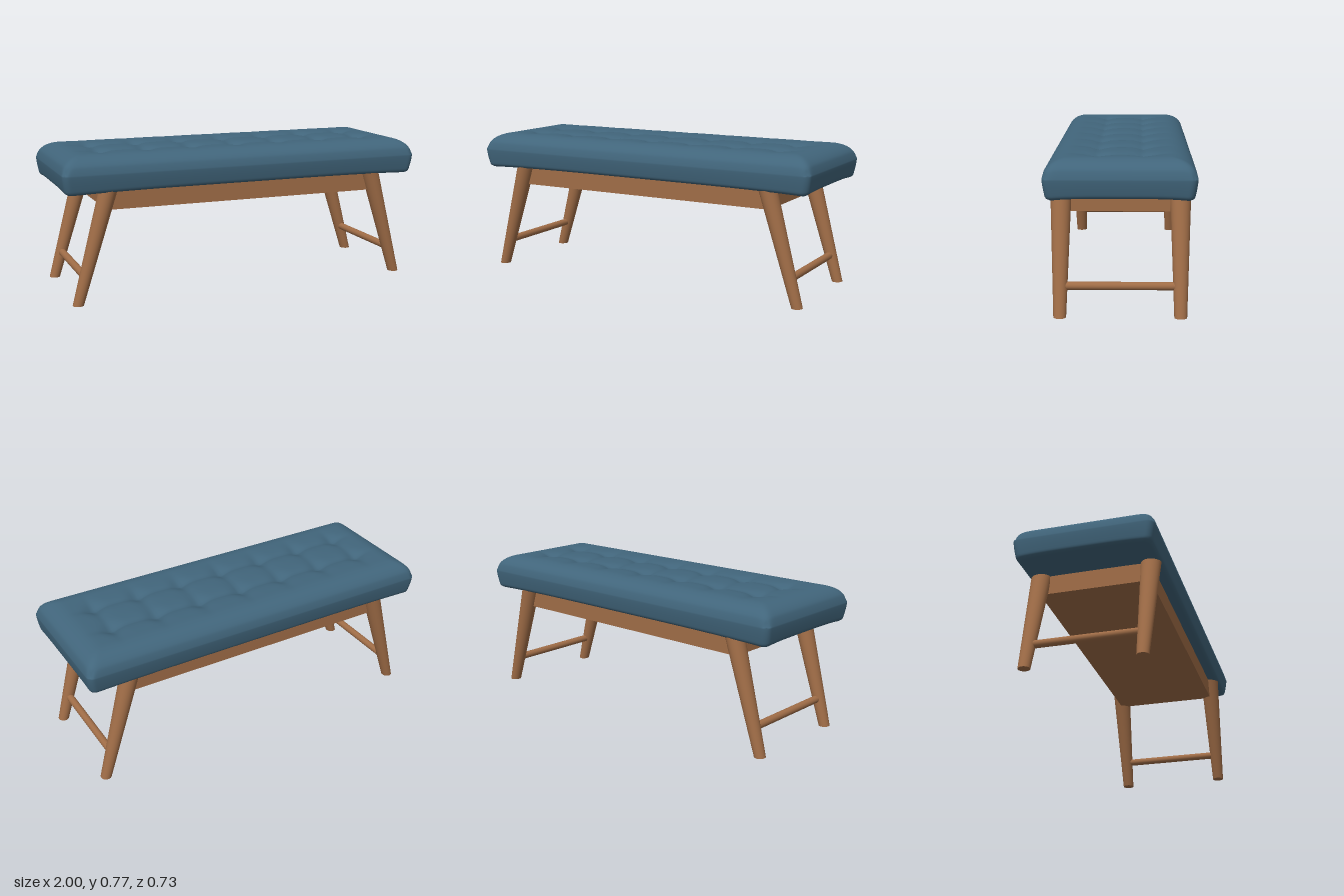
import * as THREE from 'three';
import { mergeVertices } from 'three/addons/utils/BufferGeometryUtils.js';

const HX = 1, HZ = 0.364;        // cushion half sizes
const TOP = 0.774, RIM = 0.685, BASE = 0.59;
const COL = 0.253, ROW = 0.11;   // tuft spacing

// Depth of the tufted top at a point: soft grooves plus a pit at each button
function tuftDepth(x, z) {
  const col = THREE.MathUtils.clamp(Math.round(x / COL), -3, 3) * COL;
  const dx = Math.abs(x - col), dz = Math.abs(Math.abs(z) - ROW);
  const fadeX = 1 - THREE.MathUtils.smoothstep(Math.abs(x), 0.76, 0.92);
  const fadeZ = 1 - THREE.MathUtils.smoothstep(Math.abs(z), 0.12, 0.3);
  const grooves = 0.012 * Math.max(Math.exp(-dx / 0.04) * fadeZ, Math.exp(-dz / 0.035) * fadeX);
  return grooves + 0.02 * Math.exp(-(dx * dx + dz * dz) / 0.0022);
}

// Dense box whose vertices are moved into a padded, tufted cushion
function cushionGeometry() {
  let g = new THREE.BoxGeometry(2, 2, 2, 128, 14, 56);
  g.deleteAttribute('normal');
  g.deleteAttribute('uv');
  g = mergeVertices(g);
  const p = g.attributes.position;
  const warp = u => 0.6 * u + 0.4 * Math.sin(u * Math.PI / 2); // finer near the edges
  const R = 0.035;
  for (let i = 0; i < p.count; i++) {
    const u = warp(p.getX(i)), w = warp(p.getZ(i)), v = (p.getY(i) + 1) / 2;
    // sides taper down and roll under at the bottom
    const q = Math.max(0, 1 - v / 0.18);
    const inset = 0.016 * Math.pow(1 - v, 1.5) + 0.012 * (1 - Math.sqrt(1 - q * q));
    const hx = HX - inset, hz = HZ - inset;
    let x = Math.abs(u) * hx, z = Math.abs(w) * hz;
    // rounded corners in plan
    const cx = Math.max(0, x - hx + R) / R, cz = Math.max(0, z - hz + R) / R;
    if (cx > 0 && cz > 0) {
      x = hx - R + R * cx * Math.sqrt(1 - cz * cz / 2);
      z = hz - R + R * cz * Math.sqrt(1 - cx * cx / 2);
    }
    x *= Math.sign(u);
    z *= Math.sign(w);
    const bottom = BASE - 0.01 * Math.pow(u * w, 4);
    let y = bottom + v * (RIM - bottom);
    if (v > 0.9999) {
      // padded top with rounded shoulders
      const tx = Math.max(0, 1 - (1 - Math.abs(u)) * HX / 0.13);
      const tz = Math.max(0, 1 - (1 - Math.abs(w)) * HZ / 0.13);
      const t = Math.min(1, Math.pow(tx ** 6 + tz ** 6, 1 / 6));
      const swell = Math.sqrt(1 - t * t);
      y = RIM + (TOP - RIM - tuftDepth(x, z)) * swell;
    }
    p.setXYZ(i, x, y, z);
  }
  g.computeVertexNormals();
  return g;
}

// Tapered round leg, leaning outward with level ends
function legGeometry() {
  const h = 0.595;
  const g = new THREE.CylinderGeometry(0.052, 0.031, h, 32);
  g.translate(0, h / 2, 0);
  const p = g.attributes.position;
  for (let i = 0; i < p.count; i++) {
    p.setX(i, p.getX(i) * 0.93 + 0.928 - 0.173 * p.getY(i) / h);
  }
  g.computeVertexNormals();
  // keep the seam and end caps smooth and clean
  const n = g.attributes.normal, src = new THREE.CylinderGeometry(0.052, 0.031, h, 32).attributes.normal;
  const v = new THREE.Vector3();
  for (let i = 0; i < n.count; i++) {
    v.fromBufferAttribute(src, i);
    if (Math.abs(v.y) < 0.9) v.y += 0.29 * v.x;
    v.normalize();
    n.setXYZ(i, v.x, v.y, v.z);
  }
  return g;
}

export function createModel() {
  const model = new THREE.Group();
  model.name = 'bench';
  const fabric = new THREE.MeshStandardMaterial({ color: 0x41657b });
  fabric.name = 'blue upholstery';
  const wood = new THREE.MeshStandardMaterial({ color: 0xa06d47 });
  wood.name = 'brown wood';
  const add = (name, geometry, material) => {
    const mesh = new THREE.Mesh(geometry, material);
    mesh.name = name;
    model.add(mesh);
    return mesh;
  };

  add('cushion', cushionGeometry(), fabric);

  // Solid frame under the seat
  add('seatFrame', new THREE.BoxGeometry(1.53, 0.108, 0.58), wood).position.y = 0.541;

  // Legs and the cross bar joining each end pair
  const leg = legGeometry();
  const bar = new THREE.CylinderGeometry(0.02, 0.02, 0.53, 20);
  bar.rotateX(Math.PI / 2);
  for (const side of [1, -1]) {
    const sideName = side > 0 ? 'left' : 'right';
    for (const end of [1, -1]) {
      const mesh = add(sideName + (end > 0 ? 'FrontLeg' : 'BackLeg'), leg, wood);
      mesh.rotation.y = side > 0 ? 0 : Math.PI;
      mesh.position.z = end * 0.291;
    }
    add(sideName + 'Stretcher', bar, wood).position.set(side * 0.886, 0.145, 0);
  }
  return model;
}
